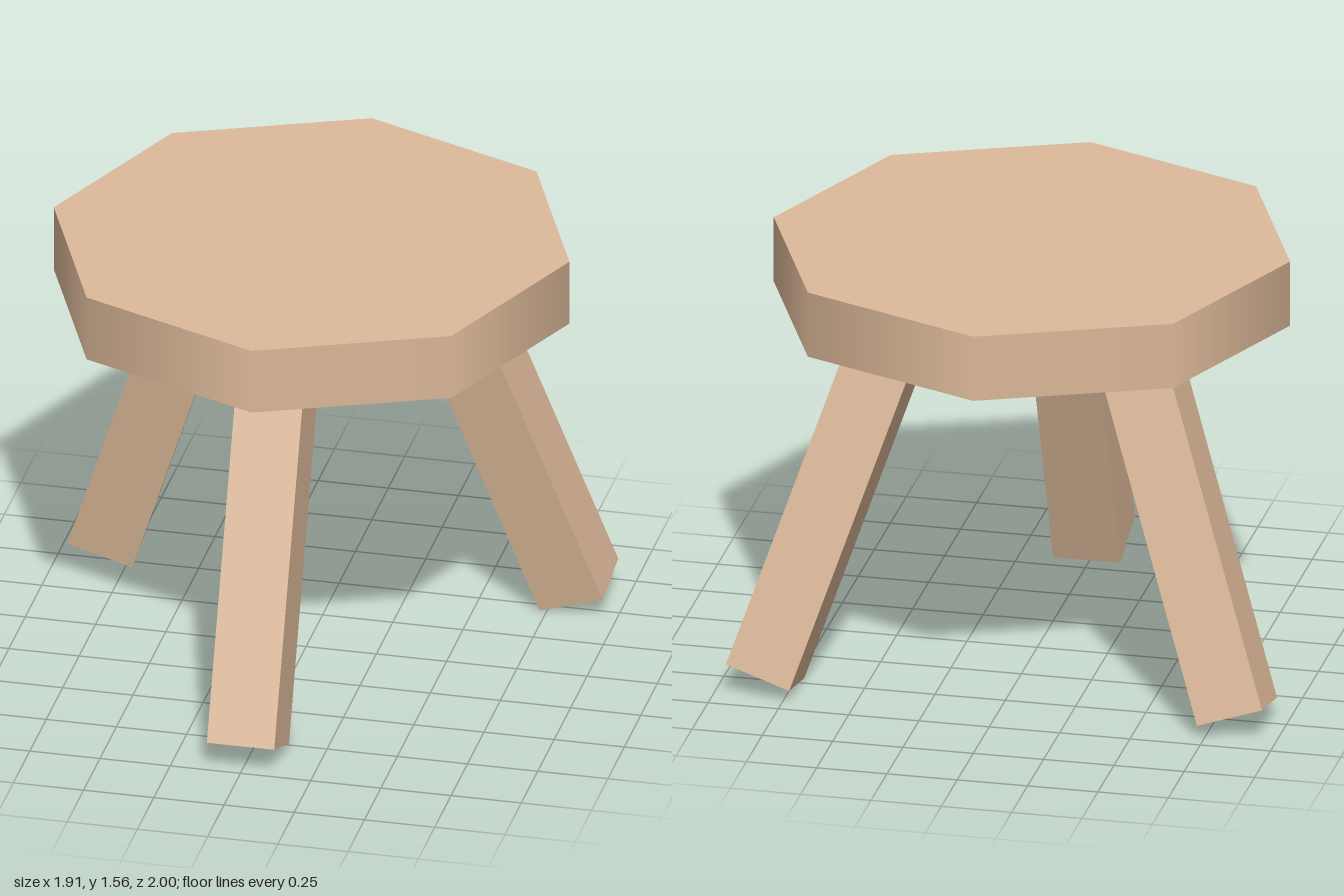
import * as THREE from 'three';

const LEG_WIDTH = 0.24;
const LEG_LENGTH = 1.345;

export function createModel() {
  const stool = new THREE.Group();
  stool.name = 'stool';

  const wood = new THREE.MeshStandardMaterial({ color: 0xdeba9a });
  wood.name = 'light wood';

  // Octagonal seat, a corner pointing forward, with smooth-shaded rim
  const seat = new THREE.Mesh(new THREE.CylinderGeometry(0.918, 0.918, 0.24, 8), wood);
  seat.name = 'seat';
  seat.position.set(0, 1.44, -0.083);
  stool.add(seat);

  // Square legs, splayed outward, tops sunk into the seat
  const legGeometry = new THREE.BoxGeometry(LEG_WIDTH, LEG_LENGTH, LEG_WIDTH);
  const addLeg = (name, position, tiltX, tiltZ) => {
    const leg = new THREE.Mesh(legGeometry, wood);
    leg.name = name;
    leg.position.set(...position);
    leg.rotation.set(tiltX, 0, tiltZ);
    stool.add(leg);
  };

  addLeg('frontLeg', [0, 0.69, 0.647], -0.365, 0);
  for (const side of [1, -1]) {
    addLeg(side > 0 ? 'backLeftLeg' : 'backRightLeg', [side * 0.63, 0.687, -0.445], 0.19, side * 0.316);
  }

  return stool;
}
